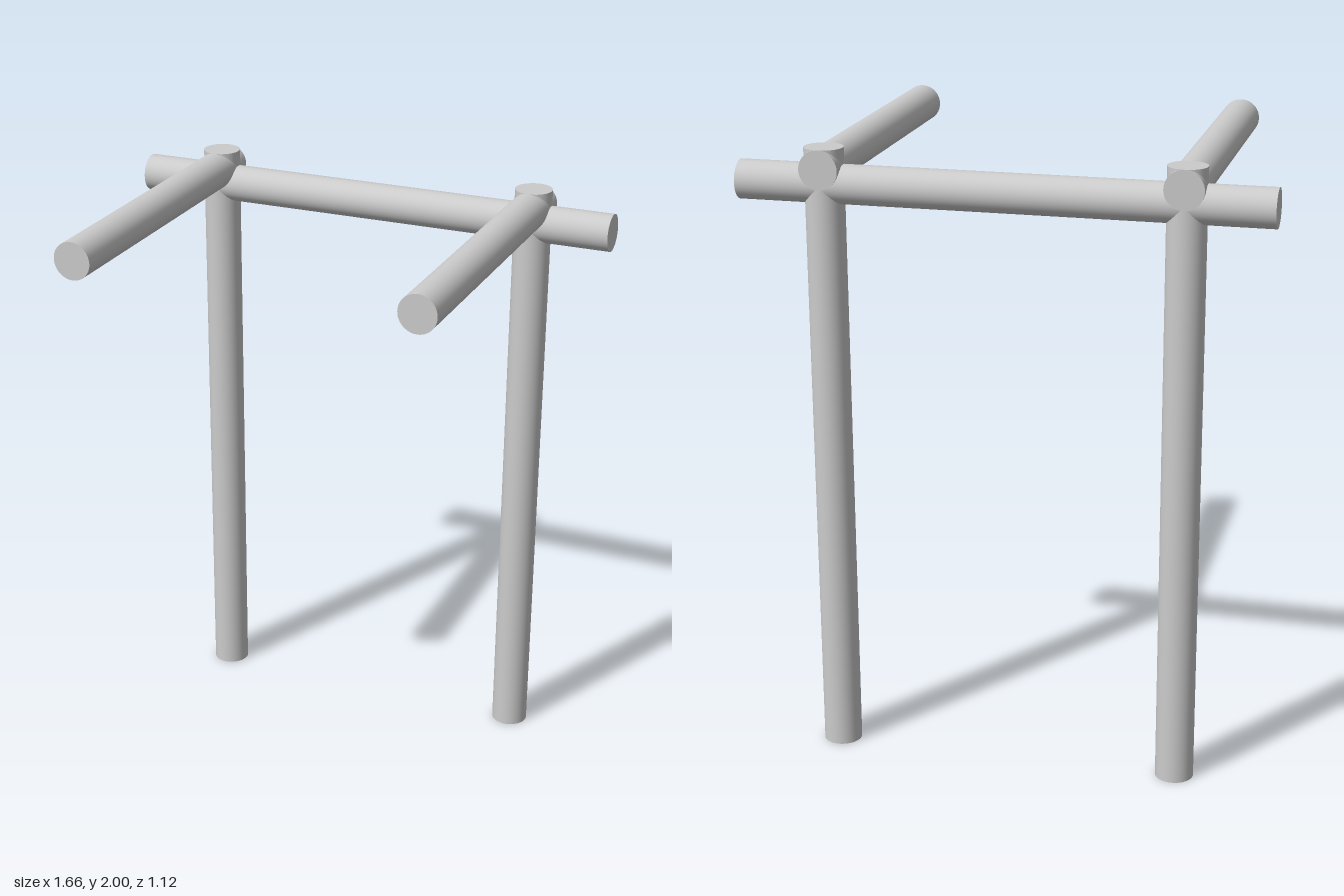
import * as THREE from 'three';

const RADIUS = 0.0615;

export function createModel() {
  const model = new THREE.Group();
  const material = new THREE.MeshStandardMaterial({ color: 0xcccccc });

  // Round bar of a given length, lying along one axis
  function bar(name, length, axis, x, y, z) {
    const geometry = new THREE.CylinderGeometry(RADIUS, RADIUS, length, 48);
    if (axis === 'x') geometry.rotateZ(Math.PI / 2);
    if (axis === 'z') geometry.rotateX(Math.PI / 2);
    const mesh = new THREE.Mesh(geometry, material);
    mesh.name = name;
    mesh.position.set(x, y, z);
    model.add(mesh);
  }

  // Upright post and forward arm on each side
  for (const [side, sign] of [['left', 1], ['right', -1]]) {
    bar(`${side}Post`, 2, 'y', sign * 0.561, 1, -0.497);
    bar(`${side}Arm`, 1.118, 'z', sign * 0.561, 2 - RADIUS, 0);
  }

  // Crossbar joining the posts just below the arms
  bar('crossbar', 1.664, 'x', 0, 1.887, -0.497);

  return model;
}
